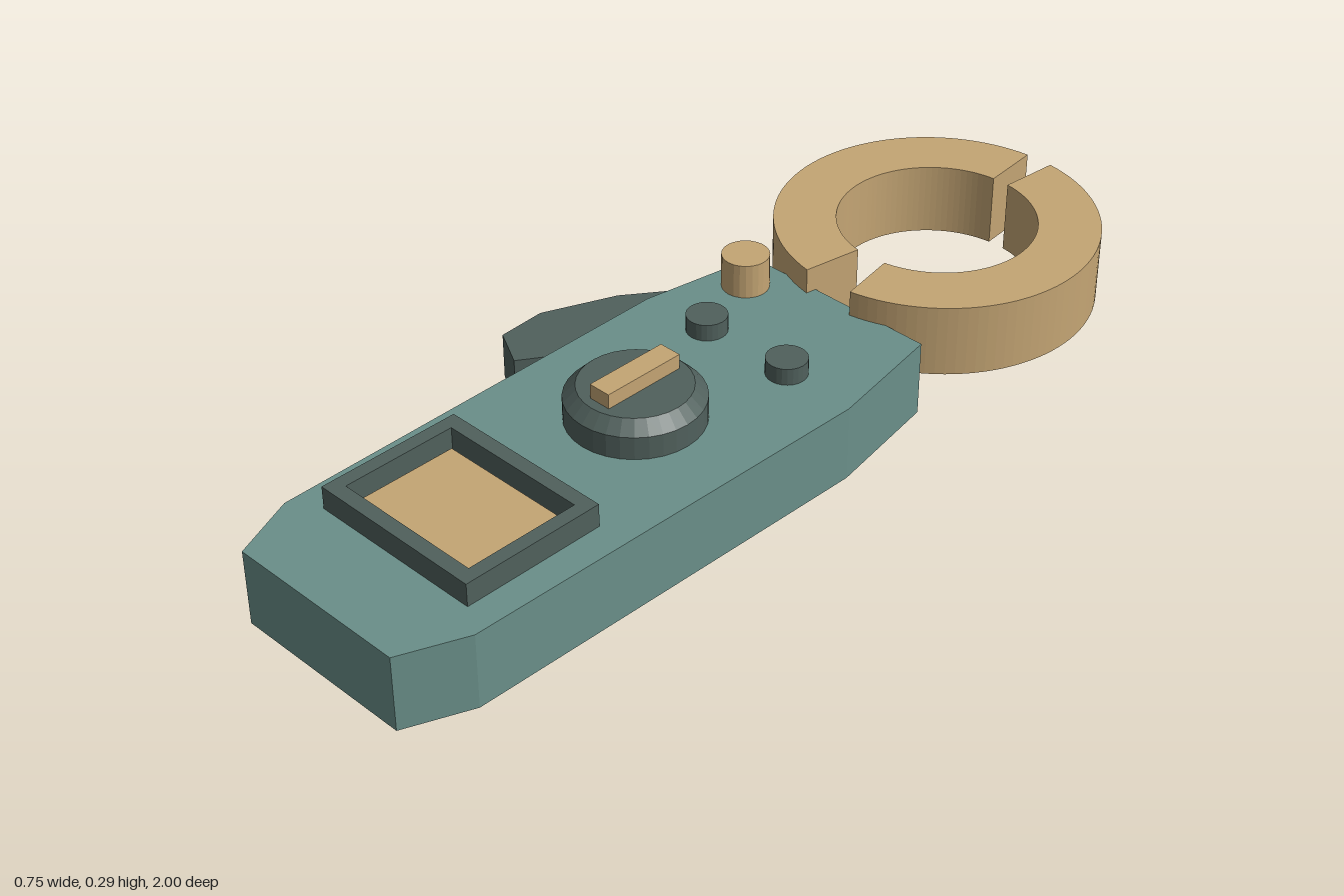
import * as THREE from 'three';

const material = (color) => new THREE.MeshStandardMaterial({ color, flatShading: true });
const CX = 0.031; // centre line of the meter body

export function createModel() {
  const model = new THREE.Group();
  const teal = material(0x6a8f89), dark = material(0x50605c), gold = material(0xc4a574);

  function add(name, geometry, mat, x = 0, y = 0, z = 0) {
    const mesh = new THREE.Mesh(geometry, mat);
    mesh.name = name;
    mesh.position.set(x, y, z);
    model.add(mesh);
    return mesh;
  }
  // Plan outlines are [x, z] pairs, extruded upwards from y0 to y1
  const outline = (pts) => pts.map(([x, z]) => new THREE.Vector2(x, -z));
  function slab(name, shape, y0, y1, mat, curveSegments = 24) {
    const g = new THREE.ExtrudeGeometry(shape, { depth: y1 - y0, bevelEnabled: false, curveSegments });
    return add(name, g.rotateX(-Math.PI / 2), mat, 0, y0, 0);
  }
  const rect = (x0, x1, z0, z1) => outline([[x0, z1], [x1, z1], [x1, z0], [x0, z0]]);
  function box(name, x0, x1, y0, y1, z0, z1, mat) {
    add(name, new THREE.BoxGeometry(x1 - x0, y1 - y0, z1 - z0), mat, (x0 + x1) / 2, (y0 + y1) / 2, (z0 + z1) / 2);
  }
  function knob(name, r, y0, y1, x, z, mat) {
    add(name, new THREE.CylinderGeometry(r, r, y1 - y0, 24), mat, x, (y0 + y1) / 2, z);
  }

  // Tapered body, mirrored about its centre line
  const half = [[0.204, 1], [0.262, 0.86], [0.275, -0.08], [0.23, -0.345]];
  const bodyPts = [
    ...half.map(([w, z]) => [CX + w, z]),
    ...half.slice().reverse().map(([w, z]) => [CX - w, z]),
  ];
  slab('body', new THREE.Shape(outline(bodyPts)), 0.014, 0.18, teal);
  box('backPlate', -0.135, 0.198, 0, 0.03, -0.262, 0.912, dark);

  // Display with raised frame
  const frame = new THREE.Shape(rect(-0.167, 0.228, 0.505, 0.82));
  frame.holes.push(new THREE.Path(rect(-0.137, 0.198, 0.537, 0.788)));
  slab('displayFrame', frame, 0.175, 0.23, dark);
  box('display', -0.13, 0.19, 0.17, 0.19, 0.545, 0.778, gold);

  // Rotary dial with chamfered top and pointer
  const dialProfile = [[0, 0.17], [0.14, 0.17], [0.14, 0.23], [0.114, 0.256], [0, 0.256]]
    .map(([r, y]) => new THREE.Vector2(r, y));
  add('dial', new THREE.LatheGeometry(dialProfile, 32), dark, CX, 0, 0.222);
  box('dialPointer', 0.006, 0.056, 0.25, 0.288, 0.128, 0.315, gold);

  // Buttons
  knob('leftButton', 0.043, 0.17, 0.217, 0.138, -0.085, dark);
  knob('rightButton', 0.043, 0.17, 0.217, -0.08, -0.085, dark);
  knob('holdButton', 0.05, 0.17, 0.256, -0.138, -0.257, gold);

  // Two clamp jaws, split at the tip and at the body
  const tipGap = THREE.MathUtils.degToRad(5.2), rootGap = THREE.MathUtils.degToRad(9.8);
  const jaw = (name, a0, a1) => {
    const s = new THREE.Shape();
    s.absarc(CX, 0.66, 0.343, a0, a1, false);
    s.absarc(CX, 0.66, 0.211, a1, a0, true);
    slab(name, s, 0.077, 0.236, gold);
  };
  jaw('leftJaw', -Math.PI / 2 + rootGap, Math.PI / 2 - tipGap);
  jaw('rightJaw', Math.PI / 2 + tipGap, Math.PI * 1.5 - rootGap);

  // Side lever that opens the jaws
  const lever = [[-0.21, -0.2], [-0.312, -0.06], [-0.377, 0.095], [-0.372, 0.202],
    [-0.288, 0.247], [-0.238, 0.17], [-0.25, 0.055], [-0.21, 0.02]];
  slab('lever', new THREE.Shape(outline(lever)), 0.065, 0.166, dark);

  return model;
}
